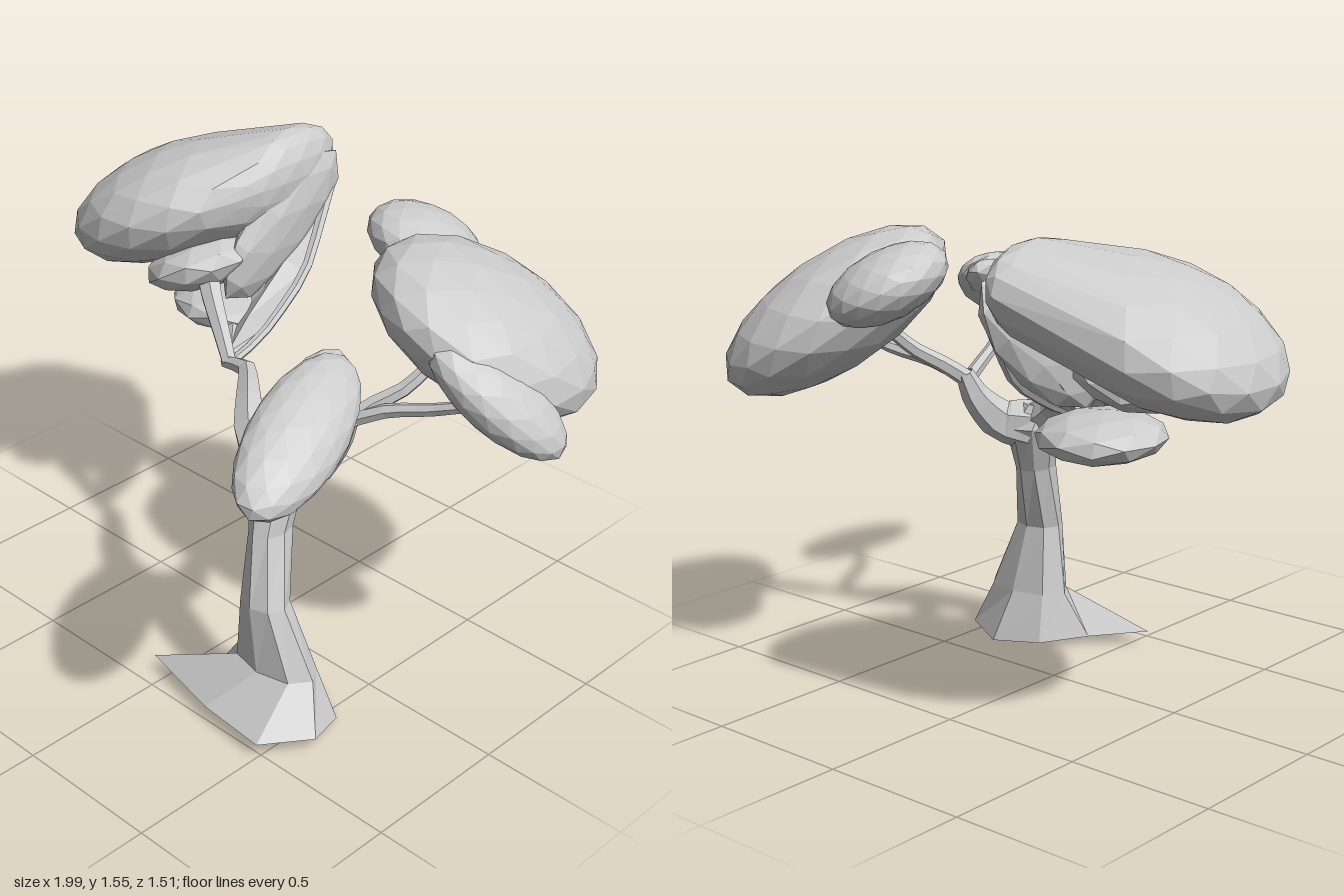
import * as THREE from 'three';
import { ConvexGeometry } from 'three/addons/geometries/ConvexGeometry.js';

const material = new THREE.MeshStandardMaterial({ color: 0xcccccc, flatShading: true, side: THREE.DoubleSide });

// Leaning ellipsoid: centre c, half extents h, lean = [xy, xz, yz] correlations of its axes
function leaningEllipsoid(c, h, [xy, xz, yz], detail = 2) {
  const d = Math.sqrt(1 - xy * xy);
  const e = (yz - xy * xz) / d;
  const f = Math.sqrt(Math.max(0.01, 1 - xz * xz - e * e));
  const geometry = new THREE.IcosahedronGeometry(1, detail);
  geometry.applyMatrix4(new THREE.Matrix4().set(
    h[0], 0, 0, c[0],
    h[1] * xy, h[1] * d, 0, c[1],
    h[2] * xz, h[2] * e, h[2] * f, c[2],
    0, 0, 0, 1));
  geometry.computeVertexNormals();
  return geometry;
}

function pointsOf(geometry) {
  const p = geometry.attributes.position;
  return Array.from({ length: p.count }, (_, i) => new THREE.Vector3().fromBufferAttribute(p, i));
}

// Tube through points, tapering from r0 to r1
function taperedTube(points, r0, r1, sides = 6) {
  const curve = new THREE.CatmullRomCurve3(points.map(p => new THREE.Vector3(...p)), false, 'catmullrom', 0.3);
  const steps = points.length * 2;
  const geometry = new THREE.TubeGeometry(curve, steps, 1, sides);
  const pos = geometry.attributes.position;
  const v = new THREE.Vector3();
  for (let i = 0; i < pos.count; i++) {
    const t = Math.floor(i / (sides + 1)) / steps;
    const centre = curve.getPointAt(t);
    v.fromBufferAttribute(pos, i).sub(centre).multiplyScalar(THREE.MathUtils.lerp(r0, r1, t)).add(centre);
    pos.setXYZ(i, v.x, v.y, v.z);
  }
  return geometry;
}

// Skin over a stack of closed rings, capped at both ends
function loft(rings) {
  const n = rings[0].length;
  const vertices = rings.flat();
  const index = [];
  for (let j = 0; j < rings.length - 1; j++) {
    for (let k = 0; k < n; k++) {
      const a = j * n + k, b = j * n + (k + 1) % n;
      index.push(a, a + n, b, b, a + n, b + n);
    }
  }
  const top = (rings.length - 1) * n;
  for (let k = 1; k < n - 1; k++) {
    index.push(0, k, k + 1, top, top + k + 1, top + k);
  }
  const geometry = new THREE.BufferGeometry();
  geometry.setAttribute('position', new THREE.Float32BufferAttribute(vertices.flat(), 3));
  geometry.setIndex(index);
  geometry.computeVertexNormals();
  return geometry;
}

export function createModel() {
  const group = new THREE.Group();
  const add = (name, geometry) => {
    const mesh = new THREE.Mesh(geometry, material);
    mesh.name = name;
    group.add(mesh);
  };

  // Trunk: flared, tilted foot rising into a narrow leaning stem
  const foot = [
    [0.61, 0.05, 0.37], [0.5, 0.05, 0.52], [0.25, 0.05, 0.5], [-0.06, 0.05, 0.43],
    [0.1, 0.03, 0.3], [0.22, 0.01, 0.18], [0.38, 0, 0.12], [0.55, 0.01, 0.21]];
  const stem = [ // x, y, z, radius x, radius z
    [0.35, 0.17, 0.28, 0.16, 0.09],
    [0.32, 0.4, 0.3, 0.085, 0.07],
    [0.28, 0.62, 0.235, 0.058, 0.08],
    [0.255, 0.78, 0.18, 0.085, 0.09],
    [0.23, 0.86, 0.2, 0.06, 0.06]];
  const stemRings = stem.map(([x, y, z, rx, rz]) => foot.map((_, k) => {
    const a = k * Math.PI / 4;
    return [x + rx * Math.cos(a), y, z + rz * Math.sin(a)];
  }));
  add('trunk', loft([foot, ...stemRings]));

  // Branches: name, path, start radius, end radius
  const branches = [
    ['leftBranch', [[0.25, 0.78, 0.19], [0.14, 0.865, 0.18], [0.04, 0.92, 0.09], [-0.08, 0.94, -0.02], [-0.19, 0.92, -0.03]], 0.07, 0.02],
    ['leftUpperTwig', [[-0.17, 0.92, -0.03], [-0.26, 0.99, -0.08], [-0.33, 1.07, -0.11], [-0.43, 1.18, -0.17]], 0.025, 0.045],
    ['leftLowerTwig', [[-0.17, 0.92, -0.03], [-0.26, 0.93, -0.13], [-0.4, 0.95, -0.28]], 0.02, 0.03],
    ['leftBackTwig', [[-0.17, 0.92, -0.03], [-0.17, 0.97, -0.18], [-0.21, 1.1, -0.42], [-0.29, 1.32, -0.62]], 0.015, 0.02],
    ['rightBranch', [[0.26, 0.78, 0.18], [0.33, 0.8, 0.11], [0.37, 0.88, 0.04], [0.39, 0.97, 0]], 0.09, 0.03],
    ['backTwig', [[0.39, 0.95, 0.01], [0.43, 1.0, -0.05], [0.5, 1.06, -0.13], [0.56, 1.18, -0.25]], 0.03, 0.02],
    ['rightTwig', [[0.4, 0.96, 0], [0.5, 1.01, -0.05], [0.62, 1.04, -0.1], [0.78, 1.1, -0.15]], 0.025, 0.018],
    ['frontTwig', [[0.39, 0.94, 0.01], [0.45, 0.97, 0.14], [0.51, 1.02, 0.29], [0.6, 1.12, 0.42]], 0.025, 0.018]];
  for (const [name, path, r0, r1] of branches) add(name, taperedTube(path, r0, r1));

  // Thin leaf spread between the back twig and the left crown
  add('leftLeafSheet', loft([
    [[-0.19, 0.92, -0.05], [-0.2, 0.94, -0.05], [-0.25, 0.93, -0.1]],
    [[-0.18, 0.98, -0.19], [-0.25, 1.0, -0.19], [-0.33, 0.97, -0.25]],
    [[-0.22, 1.1, -0.42], [-0.28, 1.13, -0.4], [-0.38, 1.1, -0.4]],
    [[-0.28, 1.32, -0.63], [-0.31, 1.33, -0.6], [-0.36, 1.3, -0.58]]]));

  // Large left crown: broad body drawn out to a rounded high back corner
  add('leftCrown', new ConvexGeometry([
    ...pointsOf(leaningEllipsoid([-0.65, 1.28, -0.27], [0.35, 0.23, 0.37], [0.5, 0, -0.1])),
    ...pointsOf(leaningEllipsoid([-0.38, 1.38, -0.43], [0.12, 0.17, 0.28], [0.2, 0, -0.2]))]));

  // Other foliage: name, centre, half extents, lean, detail
  const foliage = [
    ['rightCrown', [0.595, 1.21, -0.375], [0.335, 0.27, 0.385], [-0.45, 0, 0.43], 2],
    ['backClump', [0.26, 1.345, -0.475], [0.18, 0.13, 0.195], [-0.3, 0, 0.35], 2],
    ['sideClump', [0.81, 1.135, -0.17], [0.19, 0.19, 0.175], [-0.72, -0.38, 0.52], 2],
    ['frontClump', [0.61, 1.185, 0.465], [0.15, 0.14, 0.29], [-0.6, 0.45, -0.62], 2],
    ['frontSmallClump', [0.52, 1.235, 0.29], [0.08, 0.08, 0.13], [-0.4, 0.2, -0.5], 1],
    ['lowerLeftClump', [-0.45, 0.955, -0.31], [0.2, 0.075, 0.2], [0, 0, 0.1], 1],
    ['middleLeftClump', [-0.47, 1.13, -0.2], [0.18, 0.11, 0.2], [0.5, 0, 0], 1],
    ['leftSideLeaf', [-0.32, 1.24, -0.42], [0.07, 0.23, 0.26], [0.3, -0.2, -0.6], 1]];
  for (const [name, c, h, lean, detail] of foliage) add(name, leaningEllipsoid(c, h, lean, detail));

  return group;
}
